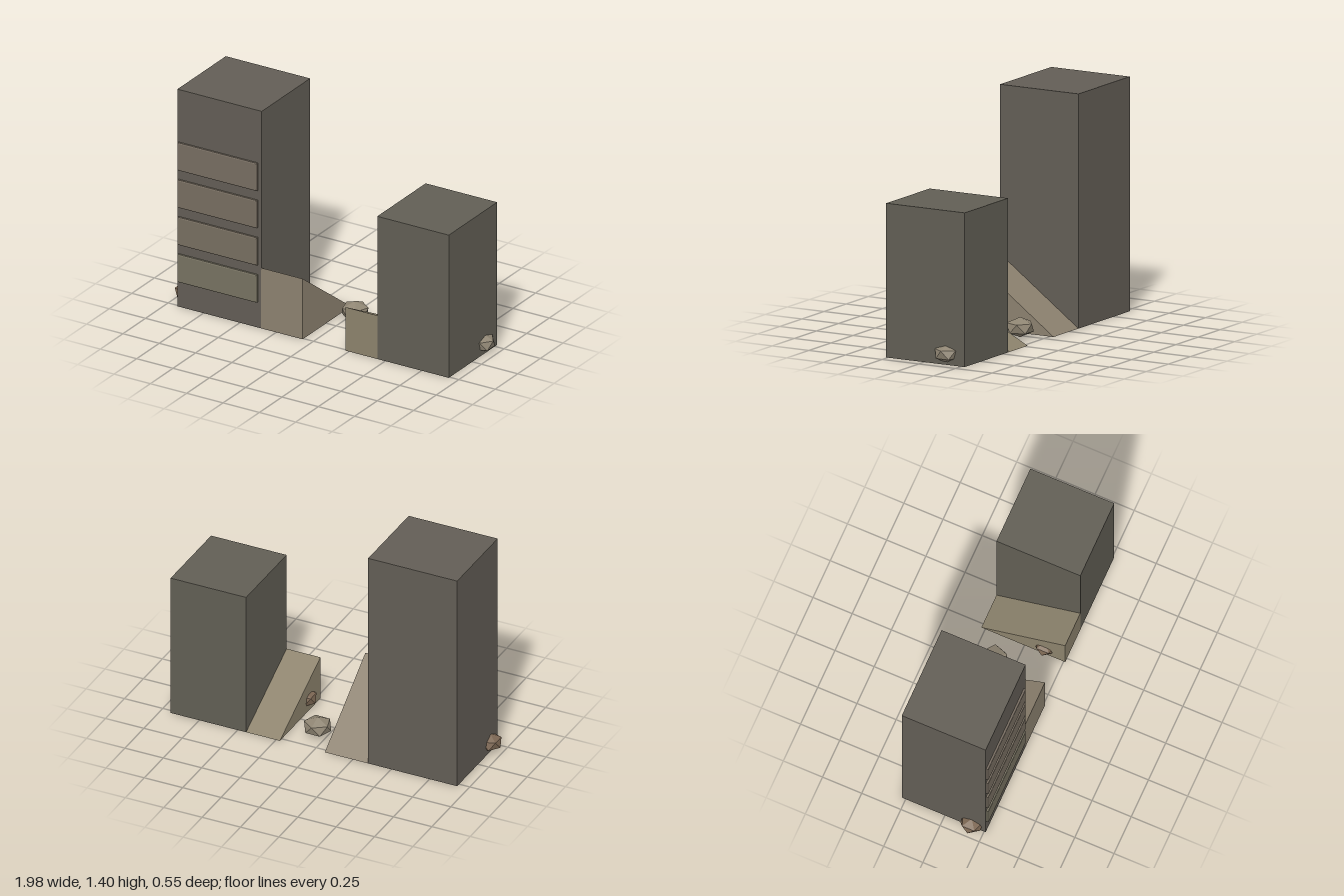
import * as THREE from 'three';

const FRONT = 0.26, BACK = -0.275;

const mat = (color) => new THREE.MeshStandardMaterial({ color, flatShading: true });

export function createModel() {
  const model = new THREE.Group();
  const add = (name, geometry, material) => {
    const mesh = new THREE.Mesh(geometry, material);
    mesh.name = name;
    model.add(mesh);
    return mesh;
  };

  // Plain block standing on the ground
  const tower = (name, x0, x1, height, color) => {
    add(name, new THREE.BoxGeometry(x1 - x0, height, FRONT - BACK), mat(color))
      .position.set((x0 + x1) / 2, height / 2, (FRONT + BACK) / 2);
  };
  tower('rightTower', -0.93, -0.35, 1.4, 0x625d55);
  tower('leftTower', 0.445, 0.937, 0.92, 0x615e54);

  // Wedge: full height at the front, sloping to the ground at the back
  const ramp = (name, x0, x1, height, color) => {
    const side = new THREE.Shape([
      new THREE.Vector2(-FRONT, 0),
      new THREE.Vector2(-BACK, 0),
      new THREE.Vector2(-FRONT, height),
    ]);
    const geometry = new THREE.ExtrudeGeometry(side, { depth: x1 - x0, bevelEnabled: false });
    geometry.rotateY(Math.PI / 2);
    add(name, geometry, mat(color)).position.x = x0;
  };
  ramp('rightRamp', -0.355, -0.068, 0.39, 0x8c816f);
  ramp('leftRamp', 0.225, 0.45, 0.28, 0x8c826c);

  // Four chamfered panels up the front of the tall tower
  const c = 0.006, w = 0.546 / 2 - c, h = 0.178 / 2 - c;
  const outline = new THREE.Shape([
    new THREE.Vector2(-w, -h), new THREE.Vector2(w, -h),
    new THREE.Vector2(w, h), new THREE.Vector2(-w, h),
  ]);
  const panelGeometry = new THREE.ExtrudeGeometry(outline, {
    depth: 0.018, bevelSize: c, bevelThickness: 0.003, bevelSegments: 1,
  });
  [0x777261, 0x776e60, 0x776d60, 0x776d61].forEach((color, i) => {
    add('frontPanel' + (i + 1), panelGeometry, mat(color))
      .position.set(-0.649, 0.253 + i * 0.24, FRONT - 0.006);
  });

  // Flattened rocks, one corner pointing straight up
  const rockGeometry = new THREE.IcosahedronGeometry(1, 0);
  rockGeometry.rotateZ(-Math.atan(2 / (1 + Math.sqrt(5))));
  // x, y, z, width radius, height radius, yaw
  const rocks = [
    [0.055, 0.065, -0.121, 0.09, 0.06, 0.3, 0x8f8573],
    [0.918, 0.065, -0.145, 0.082, 0.056, 0.0, 0x8f8573],
    [-0.925, 0.062, 0.17, 0.075, 0.054, 0.0, 0x7c6753],
    [0.255, 0.072, 0.125, 0.072, 0.054, 0.0, 0x7c6753],
    [-0.145, 0.1, 0.13, 0.08, 0.055, 0.0, 0x8f8573],
  ];
  rocks.forEach(([x, y, z, r, ry, yaw, color], i) => {
    const rock = add('rock' + (i + 1), rockGeometry, mat(color));
    rock.position.set(x, y, z);
    rock.scale.set(r, ry, r);
    rock.rotation.y = yaw;
  });

  return model;
}
